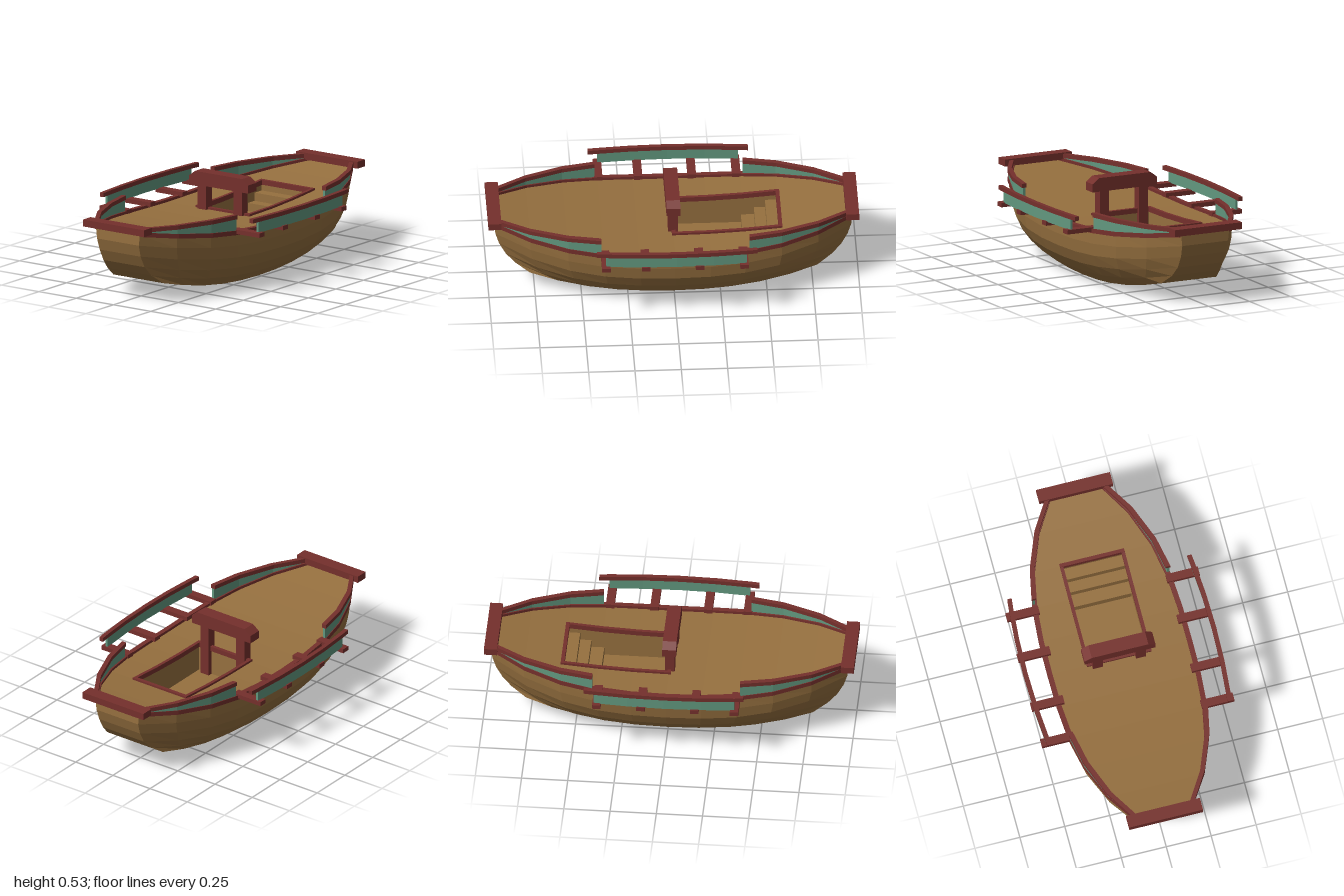
import * as THREE from 'three';

const mat = (color) => new THREE.MeshStandardMaterial({ color, flatShading: true, side: THREE.DoubleSide });
const WOOD = mat(0x96703f), RED = mat(0x75302c), GREEN = mat(0x62987f);

// stations along the length, -1 (back) to 1 (front)
const T = [-1, -0.81, -0.6, -0.4, -0.2, 0, 0.2, 0.4, 0.6, 0.81, 1];
const END = 0.96;
const sheer = (z) => 0.32 + 0.08 * (z / END) ** 2;
const edgeX = (z) => 0.395 - 0.248 * Math.abs(z / END) ** 3;

// planking levels, top to keel: [half width amidships, y amidships, half width at end, y at end, z at end]
const LEVELS = [
  [0.395, 0.32, 0.147, 0.40, 0.96],
  [0.395, 0.25, 0.14, 0.34, 0.96],
  [0.385, 0.18, 0.137, 0.275, 0.94],
  [0.352, 0.113, 0.138, 0.21, 0.905],
  [0.305, 0.056, 0.147, 0.155, 0.855],
  [0.23, 0, 0.168, 0.1, 0.775],
];

function meshFromQuads(quads, material, name) {
  const pos = [];
  for (const [a, b, c, d] of quads) pos.push(...a, ...b, ...c, ...a, ...c, ...d);
  const g = new THREE.BufferGeometry();
  g.setAttribute('position', new THREE.Float32BufferAttribute(pos, 3));
  g.computeVertexNormals();
  const m = new THREE.Mesh(g, material);
  m.name = name;
  return m;
}

// joins rings that run counter-clockwise seen from +z, ordered by rising z, and caps both ends
function loft(rings, material, name, closed = true) {
  const quads = [], n = rings[0].length;
  for (let i = 0; i < rings.length - 1; i++) {
    for (let j = 0; j < (closed ? n : n - 1); j++) {
      const k = (j + 1) % n;
      quads.push([rings[i][j], rings[i][k], rings[i + 1][k], rings[i + 1][j]]);
    }
  }
  const a = rings[0], b = rings[rings.length - 1];
  for (let j = 0; j < n / 2 - 1; j++) {
    quads.push([a[n - 1 - j], a[n - 2 - j], a[j + 1], a[j]]);
    quads.push([b[j], b[j + 1], b[n - 2 - j], b[n - 1 - j]]);
  }
  return meshFromQuads(quads, material, name);
}

// rectangular bar following z values; x, bottom and top are functions of z
function bar(name, material, zs, w, x, y0, y1) {
  const h = w / 2;
  return loft(zs.map((z) => [
    [x(z) - h, y0(z), z], [x(z) + h, y0(z), z], [x(z) + h, y1(z), z], [x(z) - h, y1(z), z],
  ]), material, name);
}

function box(name, material, x0, x1, y0, y1, z0, z1) {
  const m = new THREE.Mesh(new THREE.BoxGeometry(x1 - x0, y1 - y0, z1 - z0), material);
  m.position.set((x0 + x1) / 2, (y0 + y1) / 2, (z0 + z1) / 2);
  m.name = name;
  return m;
}

export function createModel() {
  const boat = new THREE.Group();
  boat.name = 'boat';
  const add = (...m) => boat.add(...m);

  // hull
  const rings = T.map((t) => {
    const a = Math.abs(t);
    const half = LEVELS.map(([x, y, xe, ye, ze]) => [x + (xe - x) * a ** 3, y + (ye - y) * a ** 2.1, ze * t]);
    return [...half.map(([x, y, z]) => [-x, y, z]), ...half.reverse()];
  });
  add(loft(rings, WOOD, 'hull', false));

  // deck, open over the hatch
  const hx0 = -0.175, hx1 = 0.167, hz0 = -0.6 * END, hz1 = 0, floorY = 0.16;
  const deck = [];
  const strip = (z0, z1, a0, b0, a1, b1) => deck.push([
    [a0, sheer(z0), z0], [a1, sheer(z1), z1], [b1, sheer(z1), z1], [b0, sheer(z0), z0]]);
  for (let i = 0; i < T.length - 1; i++) {
    const z0 = T[i] * END, z1 = T[i + 1] * END, e0 = edgeX(z0), e1 = edgeX(z1);
    const mid = (z0 + z1) / 2;
    if (mid > hz0 && mid < hz1) {
      strip(z0, z1, -e0, hx0, -e1, hx0);
      strip(z0, z1, hx1, e0, hx1, e1);
    } else strip(z0, z1, -e0, e0, -e1, e1);
  }
  add(meshFromQuads(deck, WOOD, 'deck'));

  // hatch well: walls, floor and steps
  const corners = [[hx0, hz0], [hx0, hz1], [hx1, hz1], [hx1, hz0]];
  const well = corners.map(([x, z], i) => {
    const [x2, z2] = corners[(i + 1) % 4];
    return [[x, sheer(z), z], [x, floorY, z], [x2, floorY, z2], [x2, sheer(z2), z2]];
  });
  well.push(corners.map(([x, z]) => [x, floorY, z]));
  add(meshFromQuads(well, WOOD, 'hatchWell'));
  [[-0.51, 0.3], [-0.45, 0.255], [-0.38, 0.21]].forEach(([z, y], i) => {
    add(box('step' + (i + 1), WOOD, hx0 + 0.002, hx1 - 0.002, floorY, y, hz0 + 0.002, z));
  });

  // hatch frame
  const hatchZ = T.filter((t) => t >= -0.6 && t <= 0).map((t) => t * END);
  for (const x of [hx0, hx1]) {
    add(bar('hatchFrameSide', RED, hatchZ, 0.018, () => x, (z) => sheer(z) - 0.015, (z) => sheer(z) + 0.012));
  }
  for (const z of [hz0, hz1]) {
    add(box('hatchFrameEnd', RED, hx0 - 0.009, hx1 + 0.009, sheer(z) - 0.015, sheer(z) + 0.012, z - 0.011, z + 0.009));
  }

  // posts and chamfered cross beam over the hatch
  for (const x of [-0.128, 0.112]) add(box('post', RED, x - 0.028, x + 0.028, floorY, 0.46, -0.025, 0.028));
  const profile = new THREE.Shape([
    [-0.205, 0.455], [0.19, 0.455], [0.19, 0.5], [0.15, 0.53], [-0.165, 0.53], [-0.205, 0.5],
  ].map(([x, y]) => new THREE.Vector2(x, y)));
  const beam = new THREE.Mesh(new THREE.ExtrudeGeometry(profile, { depth: 0.075, bevelEnabled: false }), RED);
  beam.position.z = -0.036;
  beam.name = 'crossBeam';
  add(beam);

  // end bars at bow and stern
  for (const s of [-1, 1]) add(box('endBar', RED, -0.205, 0.205, 0.405, 0.443, s * 0.965 - 0.035, s * 0.965 + 0.035));

  const trimZ = T.map((t) => t * END * 0.995);
  const quarterZ = [0.4, 0.576, 0.778, 0.94];
  const outZ = [-0.435, -0.38, -0.2, 0, 0.2, 0.38, 0.43];
  const outX = (z) => 0.525 - 0.13 * z * z;
  const railLow = () => 0.413, railTop = () => 0.436;

  for (const s of [-1, 1]) {
    // edge trim along the deck
    add(bar('edgeTrim', RED, trimZ, 0.027, (z) => s * (edgeX(z) - 0.006), (z) => sheer(z) - 0.01, (z) => sheer(z) + 0.015));

    // bulwark panels and rails toward both ends
    for (const e of [-1, 1]) {
      const zs = e > 0 ? quarterZ : quarterZ.map((z) => -z).reverse();
      const x = (z) => s * (edgeX(z) - 0.004);
      add(bar('bulwarkPanel', GREEN, zs, 0.014, x, sheer, railLow));
      add(bar('bulwarkRail', RED, zs, 0.027, x, railLow, railTop));
    }

    // side platform: beams, outer panel and rail
    for (const z of [-0.365, -0.125, 0.165, 0.38]) {
      const [a, b] = [s * 0.355, s * 0.535];
      add(box('platformBeam', RED, Math.min(a, b), Math.max(a, b), 0.331, 0.355, z - 0.023, z + 0.023));
    }
    add(bar('platformPanel', GREEN, outZ.slice(1, -1), 0.012, (z) => s * outX(z), () => 0.352, railLow));
    add(bar('platformRail', RED, outZ, 0.024, (z) => s * outX(z), railLow, railTop));
  }
  return boat;
}
